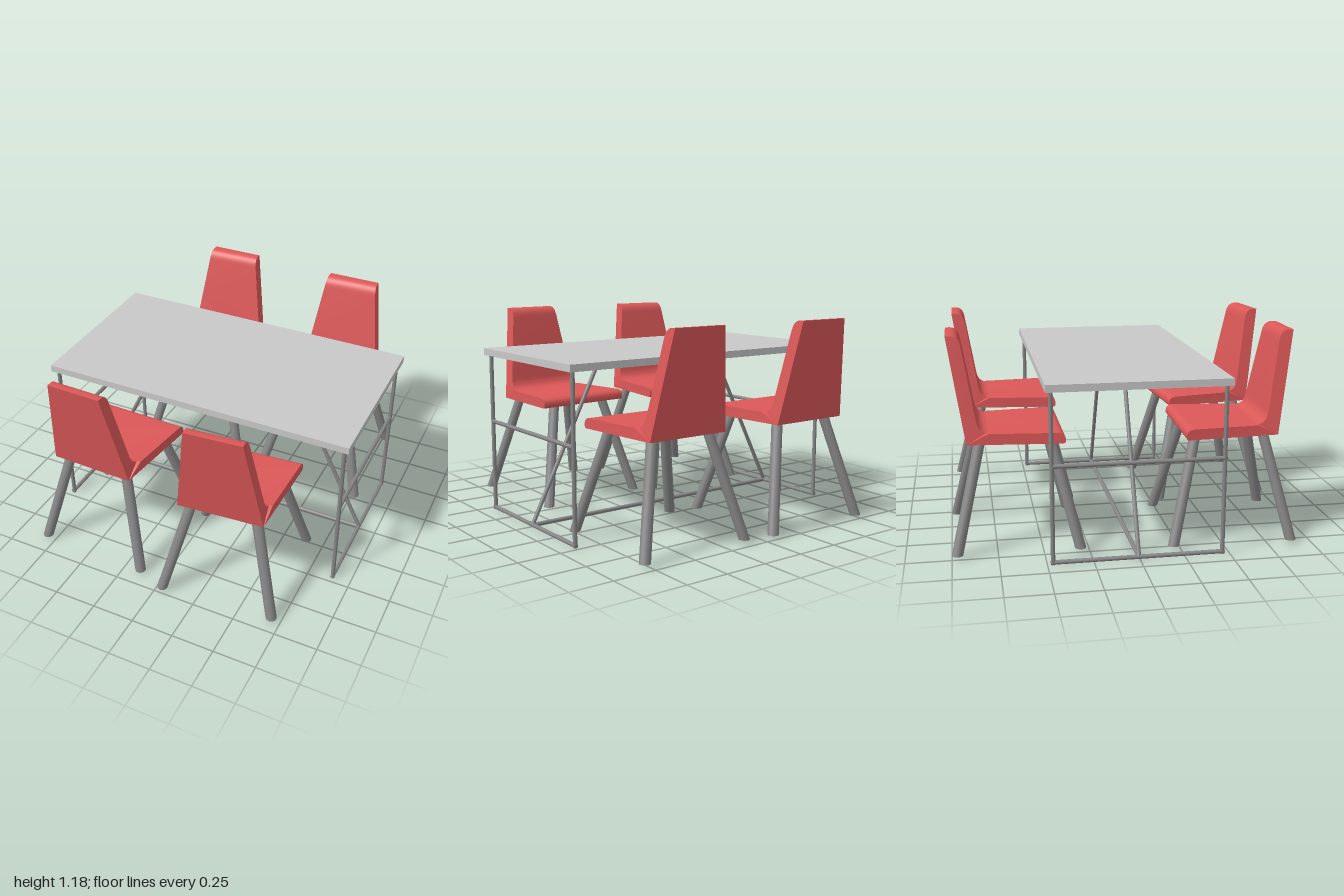
import * as THREE from 'three';
import { toCreasedNormals } from 'three/addons/utils/BufferGeometryUtils.js';

const red = new THREE.MeshStandardMaterial({ color: 0xdc5858 });
red.name = 'red shell';
const pale = new THREE.MeshStandardMaterial({ color: 0xc8c8c8 });
pale.name = 'pale table top';
const steel = new THREE.MeshStandardMaterial({ color: 0x868686 });
steel.name = 'grey steel';

function addMesh(parent, name, geometry, material) {
  const mesh = new THREE.Mesh(geometry, material);
  mesh.name = name;
  parent.add(mesh);
  return mesh;
}

// Round bar between two points
function bar(parent, name, a, b, radius = 0.012) {
  const from = new THREE.Vector3(...a), to = new THREE.Vector3(...b);
  const dir = to.clone().sub(from);
  const mesh = addMesh(parent, name, new THREE.CylinderGeometry(radius, radius, dir.length(), 12), steel);
  mesh.position.copy(from).add(to).multiplyScalar(0.5);
  mesh.quaternion.setFromUnitVectors(new THREE.Vector3(0, 1, 0), dir.normalize());
}

// Half width of the chair shell: seat narrows to the rear, backrest narrows upward
const halfWidth = (y, z) => (y > 0.671 ? 0.247 - 0.087 * (y - 0.61) / 0.575 : 0.3 + 0.1 * z);

// Side profile (z, y) extruded across the chair and tapered
function shellPart(shape) {
  const g = new THREE.ExtrudeGeometry(shape, { depth: 2, bevelEnabled: false, curveSegments: 6 });
  g.rotateY(-Math.PI / 2).translate(1, 0, 0);
  const p = g.attributes.position;
  for (let i = 0; i < p.count; i++) p.setX(i, p.getX(i) * halfWidth(p.getY(i), p.getZ(i)));
  return toCreasedNormals(g, 0.6);
}

function seatShape() {
  const s = new THREE.Shape();
  s.moveTo(-0.53, 0.61);
  s.lineTo(-0.015, 0.61);
  s.quadraticCurveTo(0, 0.61, 0, 0.63);
  s.quadraticCurveTo(0, 0.67, -0.045, 0.67);
  s.lineTo(-0.4, 0.67);
  s.quadraticCurveTo(-0.4325, 0.67, -0.451, 0.6875);
  return s;
}

function backShape() {
  const s = new THREE.Shape();
  s.moveTo(-0.53, 0.61);
  s.lineTo(-0.451, 0.6875);
  s.quadraticCurveTo(-0.47, 0.705, -0.475, 0.74);
  s.lineTo(-0.54, 1.13);
  s.quadraticCurveTo(-0.55, 1.185, -0.595, 1.185);
  s.lineTo(-0.62, 1.185);
  return s;
}

// Splayed leg with level ends: an upright cylinder sheared outward
function legGeometry(top, bottom) {
  const y0 = 0.02, y1 = 0.625;
  const g = new THREE.CylinderGeometry(0.031, 0.031, y1 - y0, 16);
  g.translate(0, (y0 + y1) / 2, 0);
  const p = g.attributes.position;
  for (let i = 0; i < p.count; i++) {
    const t = (p.getY(i) - y0) / (y1 - y0);
    p.setX(i, p.getX(i) + THREE.MathUtils.lerp(bottom[0], top[0], t));
    p.setZ(i, p.getZ(i) + THREE.MathUtils.lerp(bottom[1], top[1], t));
  }
  g.computeVertexNormals();
  return g;
}

// Chair with its seat's front edge at the origin, facing +z
function createChair() {
  const chair = new THREE.Group();
  addMesh(chair, 'seat', shellPart(seatShape()), red);
  addMesh(chair, 'backrest', shellPart(backShape()), red);
  for (const s of [-1, 1]) {
    const side = s > 0 ? 'Left' : 'Right';
    addMesh(chair, 'frontLeg' + side, legGeometry([s * 0.18, -0.075], [s * 0.33, 0.07]), steel);
    addMesh(chair, 'rearLeg' + side, legGeometry([s * 0.18, -0.455], [s * 0.33, -0.6]), steel);
  }
  return chair;
}

function createTable() {
  const table = new THREE.Group();
  table.name = 'table';
  table.position.z = -0.005;
  const top = addMesh(table, 'tableTop', new THREE.BoxGeometry(1.85, 0.04, 0.99), pale);
  top.position.y = 0.965;

  // End frames with a mid bar and a diagonal brace
  const z = 0.465;
  for (const s of [-1, 1]) {
    const x = s * 0.893;
    for (const e of [-1, 1]) bar(table, 'post', [x, 0, e * z], [x, 0.95, e * z]);
    bar(table, 'floorBar', [x, 0.012, -z - 0.012], [x, 0.012, z + 0.012]);
    bar(table, 'midBar', [x, 0.545, -z], [x, 0.545, z]);
    bar(table, 'diagonalBrace', [x, 0.015, 0], [s * 0.42, 0.95, 0]);
  }
  bar(table, 'floorRail', [-0.893, 0.012, 0], [0.893, 0.012, 0]);
  return table;
}

export function createModel() {
  const model = new THREE.Group();
  model.name = 'diningSet';
  model.add(createTable());

  // Chair places: name, x, z, turn
  const places = [
    ['rearRightChair', -0.4, -0.37, 0],
    ['rearLeftChair', 0.44, -0.335, 0],
    ['frontRightChair', -0.455, 0.293, Math.PI - 0.03],
    ['frontLeftChair', 0.319, 0.342, Math.PI + 0.079],
  ];
  for (const [name, x, z, turn] of places) {
    const chair = createChair();
    chair.name = name;
    chair.position.set(x, 0, z);
    chair.rotation.y = turn;
    model.add(chair);
  }
  return model;
}
